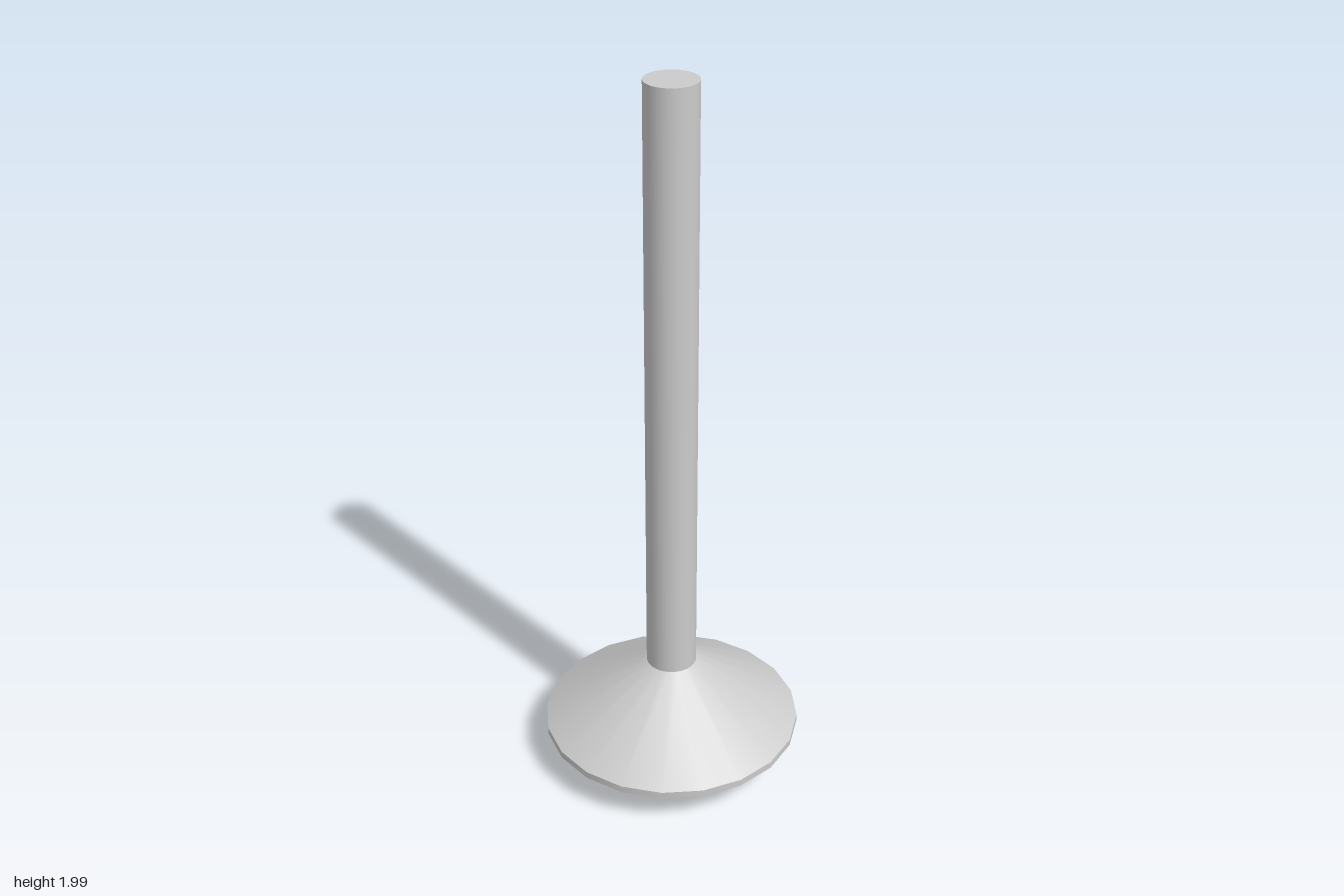
import * as THREE from 'three';

const SIDES = 20;

export function createModel() {
  const group = new THREE.Group();
  const solid = new THREE.MeshStandardMaterial({ color: 0xcccccc });
  const thin = new THREE.MeshStandardMaterial({ color: 0xcccccc, side: THREE.DoubleSide });

  const add = (name, geometry, material, y = 0) => {
    const mesh = new THREE.Mesh(geometry, material);
    mesh.name = name;
    mesh.position.y = y;
    group.add(mesh);
  };

  // Long hanging stem
  add('stem', new THREE.CylinderGeometry(0.07, 0.07, 1.69, 32), solid, 1.155);

  // Open conical shade with a short vertical lip
  add('shade', new THREE.CylinderGeometry(0.07, 0.361, 0.187, SIDES, 1, true), thin, 0.2165);
  add('shadeLip', new THREE.CylinderGeometry(0.361, 0.361, 0.02, SIDES, 1, true), thin, 0.113);

  // Bulb: round globe blending into a narrow neck that reaches the stem
  const radius = 0.097;
  const profile = [];
  for (let i = 0; i <= 14; i++) {
    const a = (i / 14) * THREE.MathUtils.degToRad(130);
    profile.push(new THREE.Vector2(radius * Math.sin(a), 0.103 - radius * Math.cos(a)));
  }
  for (const [r, y] of [[0.062, 0.186], [0.056, 0.21], [0.056, 0.24], [0.058, 0.27], [0.058, 0.31]]) {
    profile.push(new THREE.Vector2(r, y));
  }
  add('bulb', new THREE.LatheGeometry(profile, 32), solid);

  return group;
}
